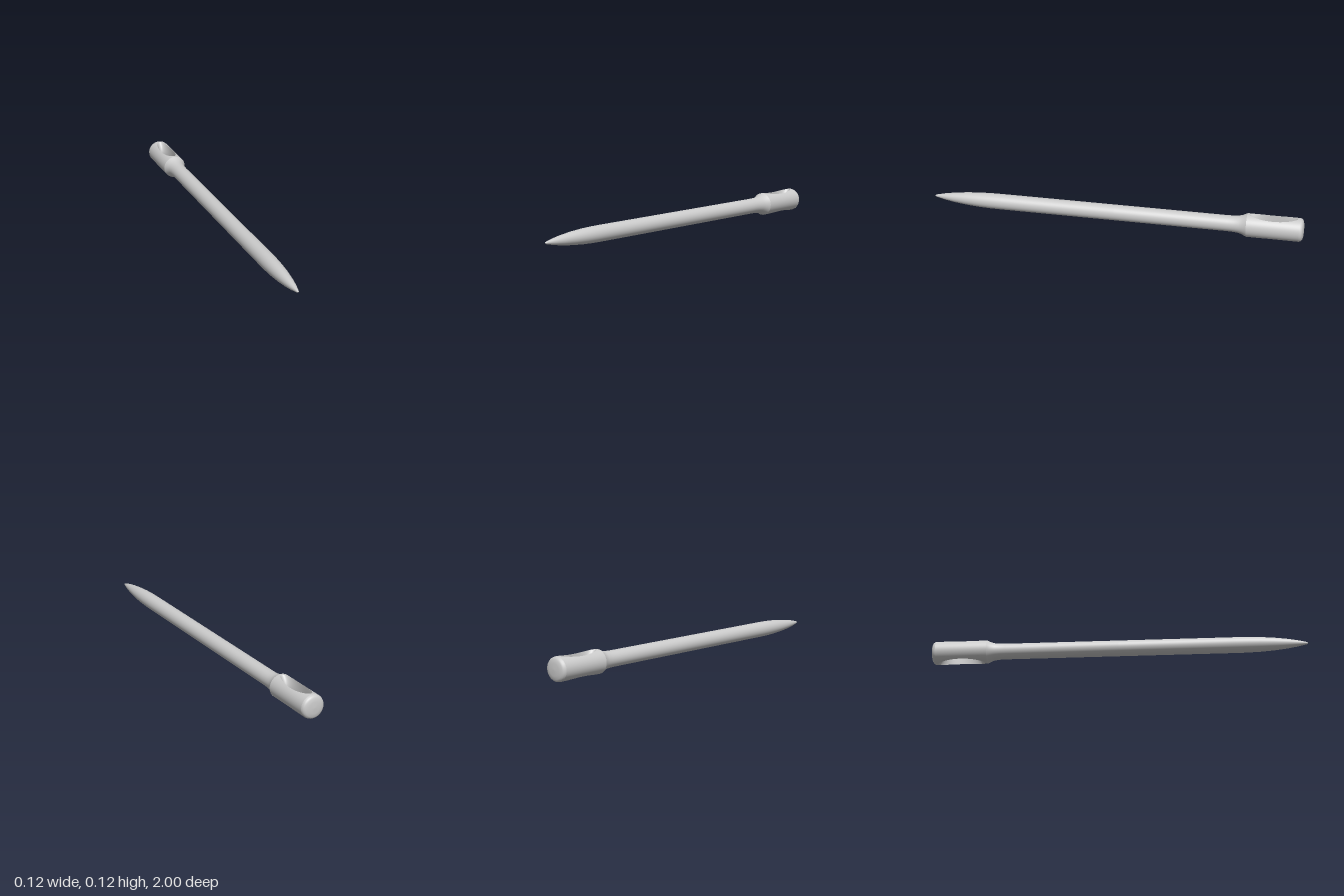
import * as THREE from 'three';

const R = 0.062;              // head radius
const HEAD_Z = -0.84;         // centre of the head and its eye
const HALF = 0.137;           // half length of the straight part of the head
const N = 96;                 // steps around the eye
const material = new THREE.MeshStandardMaterial({ color: 0xcccccc, side: THREE.DoubleSide });

// Sheet of quads that closes around the eye; point(t, s) with s from 0 to 1
function ringSheet(point, rows) {
  const pos = [], index = [];
  for (let j = 0; j <= rows; j++) {
    for (let i = 0; i < N; i++) pos.push(...point((i / N) * Math.PI * 2, j / rows));
  }
  for (let j = 0; j < rows; j++) {
    for (let i = 0; i < N; i++) {
      const a = j * N + i, b = j * N + (i + 1) % N;
      index.push(a, b, a + N, b, b + N, a + N);
    }
  }
  const g = new THREE.BufferGeometry();
  g.setAttribute('position', new THREE.Float32BufferAttribute(pos, 3));
  g.setIndex(index);
  g.computeVertexNormals();
  return g;
}

// Round part turned about the z axis from [radius, z] points
function turned(points) {
  const g = new THREE.LatheGeometry(points.map(([r, z]) => new THREE.Vector2(r, z)), 64);
  return g.rotateX(Math.PI / 2);
}

// Rim of the eye on the cylinder: angle from the top, and z offset
const EYE_W = 0.036, EYE_L = 0.125, THROAT_L = 0.094;
const rim = (t) => [Math.asin((EYE_W * Math.cos(t)) / R), EYE_L * Math.sin(t)];
const clamp = (v) => THREE.MathUtils.clamp(v * Math.SQRT2, -1, 1);

// Half of the head's outer skin, from the eye's rim to the rectangle around it
function headSkin() {
  const g = ringSheet((t, s) => {
    const [u0, z0] = rim(t);
    const u = THREE.MathUtils.lerp(u0, clamp(Math.cos(t)) * Math.PI / 2, s);
    const z = THREE.MathUtils.lerp(z0, clamp(Math.sin(t)) * HALF, s);
    return [R * Math.sin(u), R * Math.cos(u), z];
  }, 16);
  const p = g.attributes.position;
  for (let i = 0; i < p.count; i++) g.attributes.normal.setXYZ(i, p.getX(i) / R, p.getY(i) / R, 0);
  return g;
}

// Wall of the eye, flaring lengthwise towards both openings
function eyeWall() {
  return ringSheet((t, s) => {
    const k = s * 2 - 1;
    const x = EYE_W * Math.cos(t);
    const length = THREE.MathUtils.lerp(THROAT_L, EYE_L, k * k);
    return [x, k * Math.sqrt(R * R - x * x), length * Math.sin(t)];
  }, 24);
}

export function createModel() {
  const model = new THREE.Group();
  const add = (name, geometry, parent = model) => {
    const mesh = new THREE.Mesh(geometry, material);
    mesh.name = name;
    parent.add(mesh);
    return mesh;
  };

  // Shaft with the flared neck and the tapering point
  add('shaft', turned([
    [R, HEAD_Z + HALF], [0.058, -0.695], [0.051, -0.68], [0.046, -0.662], [0.043, -0.635], [0.042, -0.6],
    [0.042, 0], [0.042, 0.62], [0.0415, 0.68], [0.039, 0.75], [0.034, 0.82],
    [0.026, 0.89], [0.017, 0.945], [0.007, 0.99], [0.004, 0.998], [0, 1],
  ]));

  // Head with the eye through it from top to bottom
  const head = new THREE.Group();
  head.name = 'head';
  head.position.z = HEAD_Z;
  model.add(head);
  add('headTop', headSkin(), head);
  add('headBottom', headSkin(), head).rotation.z = Math.PI;
  add('eyeWall', eyeWall(), head);

  // Slightly domed butt end
  add('buttEnd', turned([
    [0, -1], [0.03, -0.999], [0.048, -0.995], [0.056, -0.99], [0.06, -0.984], [R, HEAD_Z - HALF],
  ]));

  model.children.forEach((part) => { part.position.y = R; });
  return model;
}
